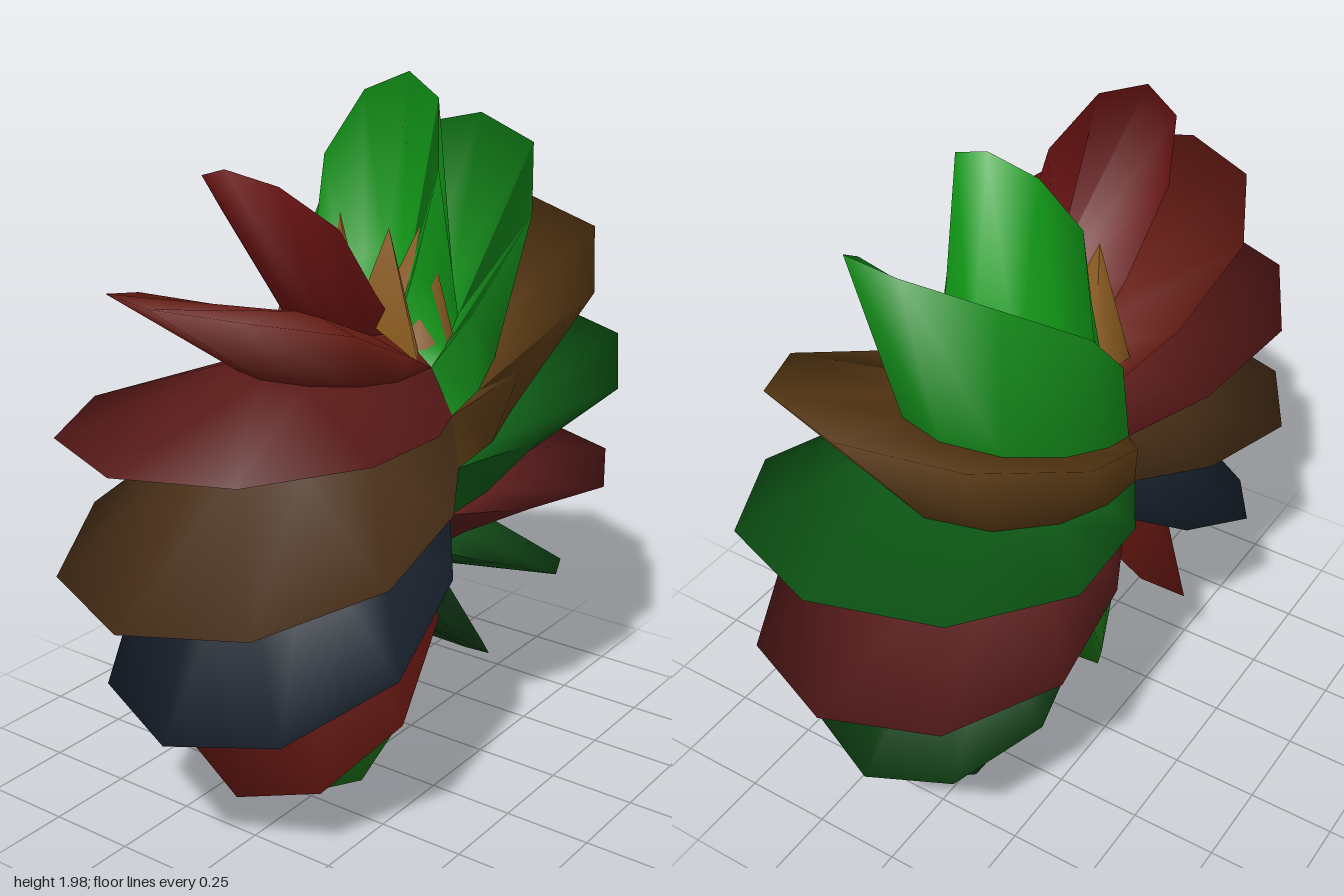
import * as THREE from 'three';

const STEP = Math.PI / 8;                 // angle between fins and around each fin
const TILT = THREE.MathUtils.degToRad(10.6);
const DEPTH = 0.85;                       // squash along z
const TIP = [1.012, 0.962, 0.805, 0.555, 0.37];   // fin rim radius, centre to waist
const VALLEY = [0.53, 0.51, 0.46, 0.41, 0.37];    // groove radius, centre to waist

// One row of points around the right half, at a tilted latitude
function row(lat, radii) {
  const pts = [];
  for (let k = -4; k <= 4; k++) {
    const r = radii[Math.abs(k)], a = k * STEP;
    const x = r * Math.cos(lat) * Math.cos(a);
    const y = r * Math.sin(lat);
    const z = r * Math.cos(lat) * Math.sin(a) * DEPTH;
    if (Math.abs(k) === 4) pts.push([0, y, z]);
    else pts.push([
      Math.max(0, x * Math.cos(TILT) - y * Math.sin(TILT)),
      x * Math.sin(TILT) + y * Math.cos(TILT), z]);
  }
  return pts;
}

// Skin a list of rows
function skin(rows, color, name) {
  const n = rows[0].length, index = [];
  for (let i = 0; i < rows.length - 1; i++) {
    for (let j = 0; j < n - 1; j++) {
      const a = i * n + j, c = a + n;
      index.push(a, a + 1, c, a + 1, c + 1, c);
    }
  }
  const geo = new THREE.BufferGeometry();
  geo.setAttribute('position', new THREE.Float32BufferAttribute(rows.flat(2), 3));
  geo.setIndex(index);
  geo.computeVertexNormals();
  const mesh = new THREE.Mesh(geo,
    new THREE.MeshStandardMaterial({ color, side: THREE.DoubleSide }));
  mesh.name = name;
  return mesh;
}

// Seven fan-shaped fins on one side, from the top down
function finHalf(colors, name) {
  const half = new THREE.Group();
  half.name = name;
  for (let j = 0; j < 7; j++) {
    const lat = (3 - j) * STEP;
    const rows = [row(lat, VALLEY), row(lat, TIP), row(lat - STEP, VALLEY)];
    if (j === 0) rows.unshift(Array.from({ length: 9 }, () => [0, 0.37, 0]));
    half.add(skin(rows, colors[j], 'fin' + (j + 1)));
  }
  return half;
}

// Small three-sided spike beside the waist
function spike(sx, sy, sz) {
  const apex = [0.08 * sx, 0.64 * sy, 0.14 * sz];
  const base = [
    [0, 0.35 * sy, 0.03 * sz], [0.14 * sx, 0.42 * sy, 0.08 * sz],
    [0.09 * sx, 0.3 * sy, 0.24 * sz], [0, 0.3 * sy, 0.18 * sz]];
  base.push(base[0]);
  if (sx * sy * sz > 0) base.reverse();
  return skin([base.map(() => apex), base], sy > 0 ? 0x8a5a1c : 0x2c6a1a, 'smallSpike');
}

export function createModel() {
  const model = new THREE.Group();
  model.name = 'spikyStar';
  const body = new THREE.Group();
  body.name = 'body';
  body.position.y = 1;
  model.add(body);

  const rightColors = [0x129a18, 0x148a1a, 0x5a3a14, 0x0e5a16, 0x5c1c1c, 0x14501a, 0x143c18];
  const leftColors = [0x1c7018, 0x6e1a14, 0x1a2430, 0x4a3018, 0x5a1a18, 0x6a1c14, 0x6a1212];
  body.add(finHalf(rightColors, 'finsLeftSide'));

  // The other side is the same half turned about the front axis
  const other = finHalf(leftColors, 'finsRightSide');
  other.rotation.z = Math.PI;
  body.add(other);

  for (const sx of [1, -1]) for (const sy of [1, -1]) for (const sz of [1, -1]) {
    body.add(spike(sx, sy, sz));
  }
  return model;
}
